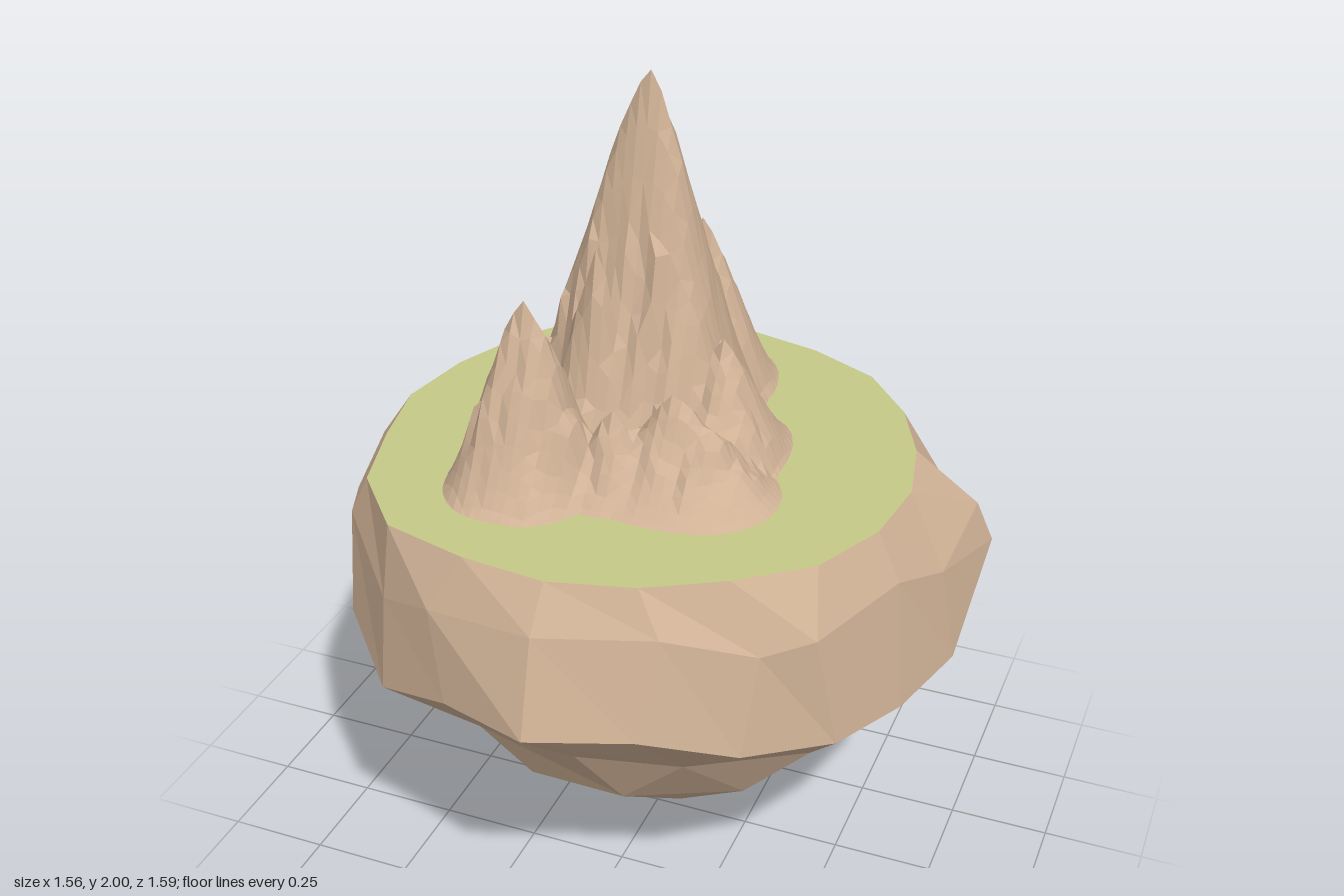
import * as THREE from 'three';

const TOP = 1.1; // height of the grass
const rockMat = new THREE.MeshStandardMaterial({ color: 0xd0b296, flatShading: true });
const grassMat = new THREE.MeshStandardMaterial({ color: 0xc5ca88, flatShading: true });

// Repeatable noise in 0..1
const noise = (a, b) => {
  const s = Math.sin(a * 127.1 + b * 311.7) * 43758.5453;
  return s - Math.floor(s);
};

function facetMesh(name, points, material) {
  const geometry = new THREE.BufferGeometry().setFromPoints(points);
  geometry.computeVertexNormals();
  const mesh = new THREE.Mesh(geometry, material);
  mesh.name = name;
  return mesh;
}

// Ring of points around the y axis; radius and height come from functions of the index
function ring(n, radius, height, cx = 0, cz = 0, jitter = 0) {
  return Array.from({ length: n }, (_, i) => {
    const a = ((i + (noise(i, n) - 0.5) * jitter) / n) * Math.PI * 2;
    return new THREE.Vector3(cx + Math.cos(a) * radius(i), height(i), cz + Math.sin(a) * radius(i));
  });
}

// Triangles between an upper and a lower ring, whose point counts may differ
function stitch(up, low) {
  const n = up.length, m = low.length, out = [];
  let i = 0, j = 0;
  while (i < n || j < m) {
    const upNext = i < n && (j >= m || (i + 1) / n <= (j + 1) / m);
    if (upNext) {
      if (n > 1) out.push(up[i % n], up[(i + 1) % n], low[j % m]);
      i++;
    } else {
      if (m > 1) out.push(up[i % n], low[(j + 1) % m], low[j % m]);
      j++;
    }
  }
  return out;
}

// Outlines every 18 degrees, starting at +x and turning towards +z
const RIM = [0.63, 0.64, 0.65, 0.63, 0.64, 0.66, 0.67, 0.715, 0.7, 0.66,
  0.67, 0.67, 0.69, 0.73, 0.715, 0.67, 0.65, 0.65, 0.63, 0.62];
const WIDE = [0.76, 0.73, 0.745, 0.73, 0.75, 0.8, 0.75, 0.76, 0.76, 0.76,
  0.785, 0.765, 0.78, 0.81, 0.78, 0.79, 0.78, 0.815, 0.76, 0.82];
const WIDE_Y = [0.67, 0.66, 0.68, 0.7, 0.77, 0.77, 0.75, 0.67, 0.74, 0.78,
  0.7, 0.72, 0.75, 0.7, 0.75, 0.78, 0.78, 0.72, 0.75, 0.86];
// Underside every 30, 40 and 51 degrees
const UNDER = [0.66, 0.57, 0.52, 0.52, 0.54, 0.58, 0.62, 0.62, 0.62, 0.62, 0.64, 0.73];
const LOW = [0.4, 0.43, 0.41, 0.42, 0.46, 0.46, 0.43, 0.43, 0.44];
const FOOT = [0.28, 0.25, 0.24, 0.26, 0.25, 0.23, 0.24];

function island() {
  const group = new THREE.Group();
  group.name = 'island';
  const rim = ring(20, i => RIM[i], () => TOP);
  const rings = [
    rim,
    ring(20, i => RIM[i] + (WIDE[i] - RIM[i]) * (0.45 + 0.5 * noise(i, 3)),
      i => 0.95 + 0.1 * (noise(i, 7) - 0.5), 0, 0, 0.5),
    ring(20, i => WIDE[i], i => WIDE_Y[i]),
    ring(12, i => UNDER[i], i => 0.52 + 0.05 * (noise(i, 5) - 0.5), 0, 0, 0.3),
    ring(9, i => LOW[i], i => 0.34 + 0.06 * (noise(i, 9) - 0.5), 0, 0, 0.3),
    ring(7, i => FOOT[i], i => 0.17 + 0.03 * (noise(i, 2) - 0.5), -0.01, -0.04, 0.3),
    ring(5, () => 0.12, i => 0.07 + 0.03 * (noise(i, 8) - 0.5), -0.02, -0.06),
    [new THREE.Vector3(-0.04, 0, -0.06)],
  ];
  const rock = [];
  for (let k = 0; k + 1 < rings.length; k++) rock.push(...stitch(rings[k], rings[k + 1]));
  group.add(facetMesh('rockBody', rock, rockMat));
  group.add(facetMesh('grassTop', stitch([new THREE.Vector3(0, TOP, 0)], rim), grassMat));
  return group;
}

// Mountain peaks: centre, height above the grass, half widths to the -x, +x, back and front
const STEP = 0.025;
const PEAKS = [
  [-0.04, -0.06, 0.9, 0.34, 0.25, 0.39, 0.26],
  [-0.14, -0.31, 0.24, 0.19, 0.2, 0.25, 0.3],
  [-0.215, 0.265, 0.45, 0.19, 0.19, 0.2, 0.22],
  [-0.015, -0.335, 0.45, 0.15, 0.19, 0.23, 0.16],
  [-0.115, 0.09, 0.52, 0.13, 0.12, 0.15, 0.14],
  [0.16, -0.01, 0.3, 0.14, 0.16, 0.22, 0.24],
  [0.11, 0.19, 0.24, 0.16, 0.26, 0.2, 0.19],
  [-0.09, -0.46, 0.27, 0.12, 0.11, 0.11, 0.13],
  [-0.29, 0.04, 0.25, 0.12, 0.13, 0.14, 0.12],
  [-0.015, 0.24, 0.2, 0.12, 0.12, 0.15, 0.14],
];

function mountainHeight(x, z) {
  let best = -0.05, slope = 1;
  for (const [px, pz, h, left, right, back, front] of PEAKS) {
    const dx = Math.abs(x - px) / (x < px ? left : right);
    const dz = Math.abs(z - pz) / (z < pz ? back : front);
    const t = Math.hypot(dx ** 1.4, dz ** 0.95);
    const y = t < 1 ? h * (1 - t) ** 1.3 : (1 - t) * 0.15;
    if (y > best) [best, slope] = [y, t];
  }
  if (best <= 0.03) return best;
  // Gullies and loose blocks, rougher towards the front and fading out at each summit
  const rough = (z > 0 ? 0.2 : 0.05) * Math.min(1, slope * 2);
  const block = noise(Math.round(x / STEP), Math.round(z / STEP / 2)) - 0.5;
  return best * (1 + rough * (block + 0.4 * Math.sin(x * 70 + z * 25)));
}

function mountain() {
  const points = [];
  const at = (i, k) => {
    const x = -0.04 + i * STEP, z = -0.06 + k * STEP;
    return new THREE.Vector3(x, TOP + mountainHeight(x, z), z);
  };
  for (let i = -18; i < 20; i++) {
    for (let k = -23; k < 25; k++) {
      const a = at(i, k), b = at(i + 1, k), c = at(i + 1, k + 1), d = at(i, k + 1);
      // Cells wholly under the grass are left out
      if (Math.max(a.y, b.y, c.y, d.y) <= TOP) continue;
      if (Math.abs(a.y - c.y) < Math.abs(b.y - d.y)) points.push(a, d, c, a, c, b);
      else points.push(a, d, b, d, c, b);
    }
  }
  return facetMesh('mountain', points, rockMat);
}

export function createModel() {
  const model = new THREE.Group();
  model.name = 'floatingIsland';
  model.add(island(), mountain());
  return model;
}
